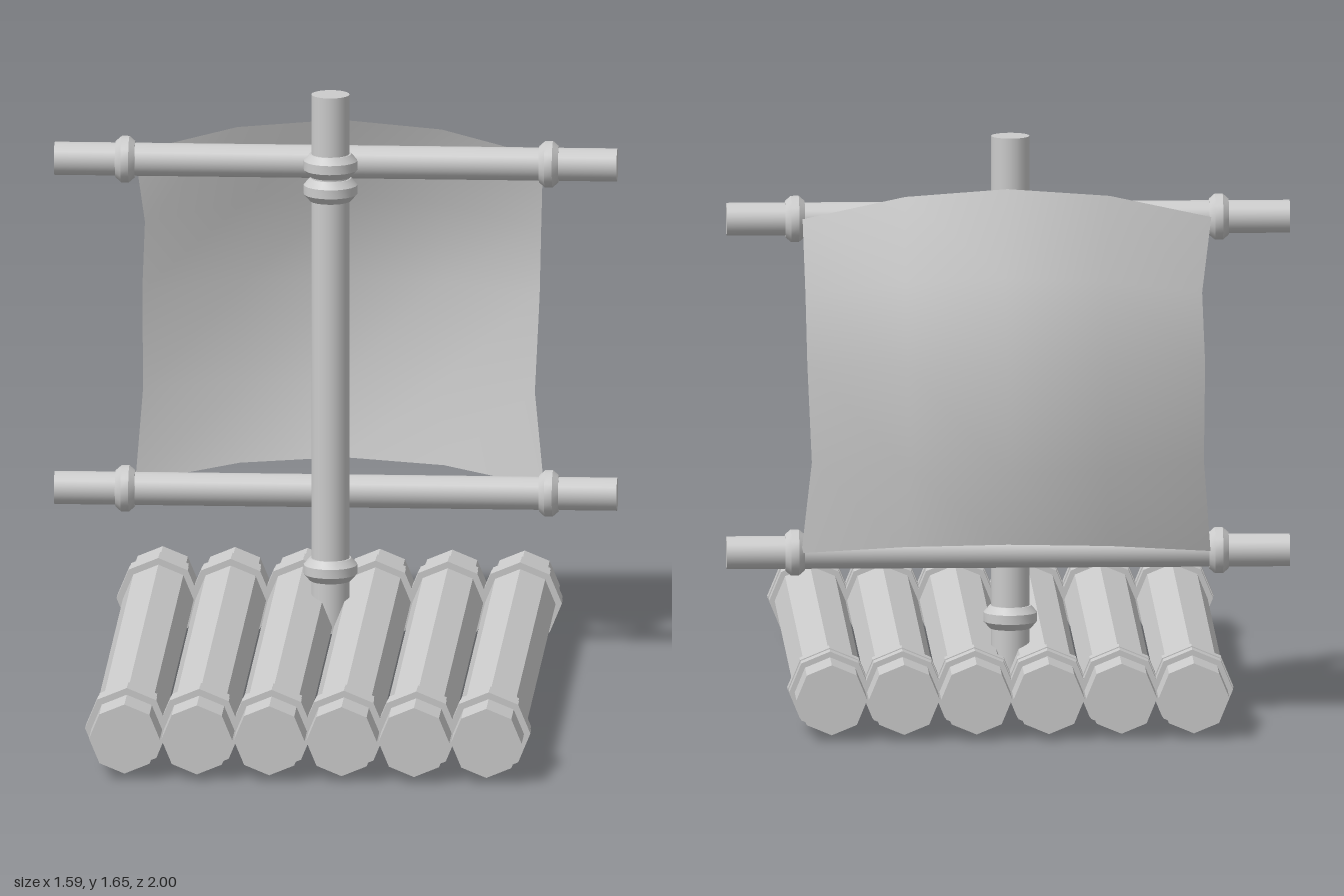
import * as THREE from 'three';
import { toCreasedNormals } from 'three/addons/utils/BufferGeometryUtils.js';

const grey = new THREE.MeshStandardMaterial({ color: 0xcccccc });
const faceted = new THREE.MeshStandardMaterial({ color: 0xcccccc, flatShading: true });
const cloth = new THREE.MeshStandardMaterial({ color: 0xcccccc, side: THREE.DoubleSide });

export function createModel() {
  const model = new THREE.Group();
  const add = (name, geometry, material, x, y, z) => {
    const mesh = new THREE.Mesh(geometry, material);
    mesh.name = name;
    mesh.position.set(x, y, z);
    model.add(mesh);
    return mesh;
  };

  // Chamfered rope collar around the y axis
  const collar = (inner, outer, height) => {
    const h = height / 2, mid = inner + (outer - inner) * 0.45;
    const profile = [[inner, -h], [mid, -h], [outer, -h * 0.4], [outer, h * 0.4], [mid, h], [inner, h]]
      .map(([r, y]) => new THREE.Vector2(r, y));
    return toCreasedNormals(new THREE.LatheGeometry(profile, 20), 0.6);
  };

  // Raft deck: six octagonal logs, each with a double lashing near both ends
  const logGeo = new THREE.CylinderGeometry(0.1, 0.1, 2, 8).rotateX(Math.PI / 2);
  const bandGeo = [0.118, 0.115].map(r => new THREE.CylinderGeometry(r, r, 0.046, 8).rotateX(Math.PI / 2));
  for (let i = 0; i < 6; i++) {
    const x = (i - 2.5) * 0.2045;
    add('log', logGeo, faceted, x, 0.12, 0);
    for (const z of [0.831, -0.811]) {
      add('logLashing', bandGeo[0], faceted, x, 0.1215, z + 0.023);
      add('logLashing', bandGeo[1], faceted, x, 0.1215, z - 0.023);
    }
  }

  // Mast with rope collars at the foot and around the upper spar
  const mastX = -0.01, mastZ = -0.495;
  add('mast', new THREE.CylinderGeometry(0.054, 0.054, 1.55, 20), grey, mastX, 0.875, mastZ);
  const mastCollar = collar(0.045, 0.076, 0.065);
  for (const y of [0.277, 1.376, 1.446]) add('mastCollar', mastCollar, grey, mastX, y, mastZ);

  // Upper and lower spars with collars holding the sail corners
  const sparGeo = new THREE.CylinderGeometry(0.047, 0.047, 1.59, 20).rotateZ(Math.PI / 2);
  const sparCollar = collar(0.04, 0.066, 0.055).rotateZ(Math.PI / 2);
  for (const [name, y] of [['upperSpar', 1.432], ['lowerSpar', 0.479]]) {
    add(name, sparGeo, grey, 0, y, -0.597);
    for (const x of [-0.595, 0.602]) add('sparCollar', sparCollar, grey, x, y, -0.597);
  }

  // Billowing sail: each row runs bottom to top as
  // [left x, right x, edge y, edge z, centre y, centre z]
  const rows = [
    [-0.57, 0.585, 0.485, -0.65, 0.53, -0.80],
    [-0.55, 0.557, 0.75, -0.69, 0.74, -0.843],
    [-0.553, 0.57, 1.03, -0.70, 1.04, -0.855],
    [-0.545, 0.575, 1.23, -0.69, 1.29, -0.79],
    [-0.572, 0.582, 1.44, -0.655, 1.53, -0.70],
  ];
  const sail = new THREE.PlaneGeometry(2, 1, 4, 4);
  const p = sail.attributes.position;
  for (let i = 0; i < p.count; i++) {
    const u = p.getX(i);
    const [x0, x1, ey, ez, cy, cz] = rows[Math.round((p.getY(i) + 0.5) * 4)];
    const belly = 1 - u * u;
    p.setXYZ(i,
      THREE.MathUtils.lerp(x0, x1, (u + 1) / 2),
      THREE.MathUtils.lerp(ey, cy, belly),
      THREE.MathUtils.lerp(ez, cz, belly));
  }
  sail.computeVertexNormals();
  add('sail', sail, cloth, 0, 0, 0);

  return model;
}
